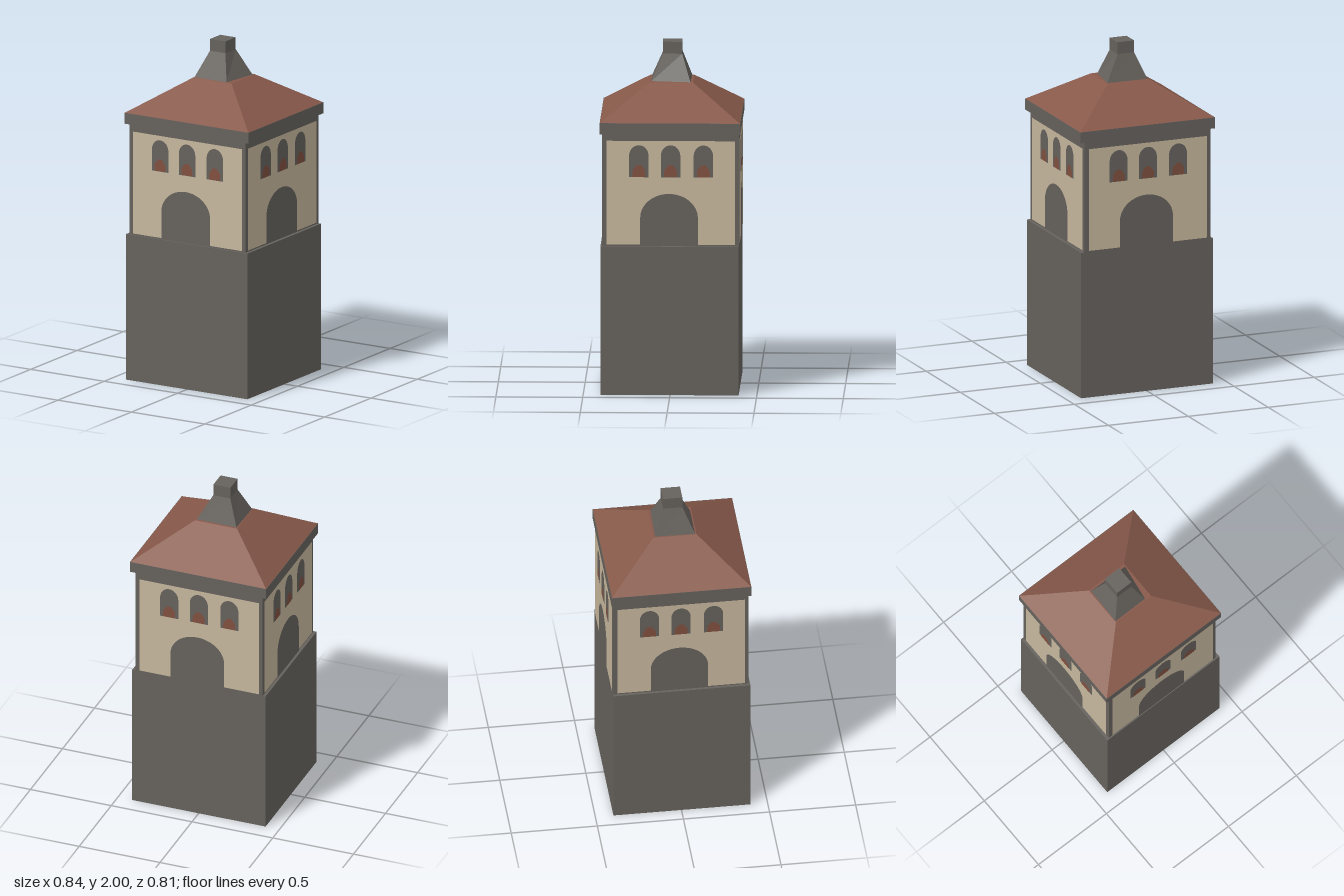
import * as THREE from 'three';

const mat = (name, color) => {
  const m = new THREE.MeshStandardMaterial({ color });
  m.name = name;
  return m;
};

// Arch standing on its base line: straight sides, then half an ellipse
function archShape(w, h, rise) {
  const s = new THREE.Shape();
  s.moveTo(-w / 2, 0);
  s.lineTo(w / 2, 0);
  s.lineTo(w / 2, h - rise);
  s.absellipse(0, h - rise, w / 2, rise, 0, Math.PI, false);
  s.lineTo(-w / 2, 0);
  return s;
}

const polygon = (points) => new THREE.Shape(points.map(([x, y]) => new THREE.Vector2(x, y)));

// Flat-sided solid through four-cornered rings, listed from bottom to top.
// Corners run back left, back right, front right, front left.
function loft(rings) {
  const pos = [];
  const quad = (a, b, c, d) => pos.push(...a, ...b, ...c, ...a, ...c, ...d);
  for (let r = 0; r < rings.length - 1; r++) {
    for (let i = 0; i < 4; i++) {
      const j = (i + 1) % 4;
      quad(rings[r][j], rings[r][i], rings[r + 1][i], rings[r + 1][j]);
    }
  }
  const lo = rings[0], hi = rings[rings.length - 1];
  quad(lo[0], lo[1], lo[2], lo[3]);
  quad(hi[3], hi[2], hi[1], hi[0]);
  const g = new THREE.BufferGeometry();
  g.setAttribute('position', new THREE.Float32BufferAttribute(pos, 3));
  g.computeVertexNormals();
  return g;
}

const rect = (x0, x1, z0, z1, y) => [[x0, y, z0], [x1, y, z0], [x1, y, z1], [x0, y, z1]];

export function createModel() {
  const stone = mat('grey stone', 0x66625d);
  const plaster = mat('beige plaster', 0xc6b79d);
  const tile = mat('red brown tile', 0x87594a);
  const clay = mat('clay red', 0x80503f);

  const model = new THREE.Group();
  model.name = 'tower';
  const add = (parent, name, geometry, material, x = 0, y = 0, z = 0) => {
    const m = new THREE.Mesh(geometry, material);
    m.name = name;
    m.position.set(x, y, z);
    parent.add(m);
    return m;
  };

  // Plain shaft and the slightly narrower storey above it
  add(model, 'shaft', new THREE.BoxGeometry(0.826, 0.867, 0.796), stone, -0.001, 0.4335, 0.003);
  add(model, 'upperStorey', new THREE.BoxGeometry(0.788, 0.66, 0.788), stone, -0.002, 1.195, -0.002);

  // Painted face of one wall, drawn looking at it straight on
  const panel = polygon([[-0.368, 0.875], [0.373, 0.875], [0.373, 1.482], [-0.368, 1.482]]);
  const flowers = polygon([[-0.038, 0], [0.038, 0], [0.036, 0.04], [0.012, 0.07], [-0.012, 0.07], [-0.036, 0.04]]);
  const panelGeo = new THREE.ShapeGeometry(panel);
  const doorGeo = new THREE.ShapeGeometry(archShape(0.332, 0.303, 0.14), 16);
  const windowGeo = new THREE.ShapeGeometry(archShape(0.112, 0.187, 0.062), 12);
  const flowerGeo = new THREE.ShapeGeometry(flowers);
  const sides = ['front', 'left', 'back', 'right'];
  sides.forEach((side, i) => {
    const wall = new THREE.Group();
    wall.name = side + 'Wall';
    wall.position.set(-0.002, 0, -0.002);
    wall.rotation.y = i * Math.PI / 2;
    add(wall, 'plasterPanel', panelGeo, plaster, 0, 0, 0.3965);
    add(wall, 'archedDoor', doorGeo, stone, -0.008, 0.87, 0.399);
    for (const x of [-0.182, 0.001, 0.19]) {
      add(wall, 'archedWindow', windowGeo, stone, x, 1.27, 0.399);
      add(wall, 'windowFlowers', flowerGeo, clay, x, 1.272, 0.4015);
    }
    model.add(wall);
  });

  // Eave slab and hipped roof
  add(model, 'eave', new THREE.BoxGeometry(0.844, 0.065, 0.81), stone, 0, 1.5565, 0);
  add(model, 'roof', loft([
    rect(-0.422, 0.422, -0.405, 0.405, 1.588),
    rect(-0.13, 0.13, -0.125, 0.125, 1.778),
  ]), tile);

  // Flared, slightly skewed chimney cap with a square neck
  const neck = (y) => rect(-0.063, 0.042, -0.06, 0.052, y);
  add(model, 'chimneyCap', loft([
    [[-0.123, 1.776, -0.115], [0.126, 1.776, -0.11], [0.092, 1.776, 0.118], [-0.128, 1.776, 0.118]],
    neck(1.93),
    neck(2),
  ]), stone);

  return model;
}
